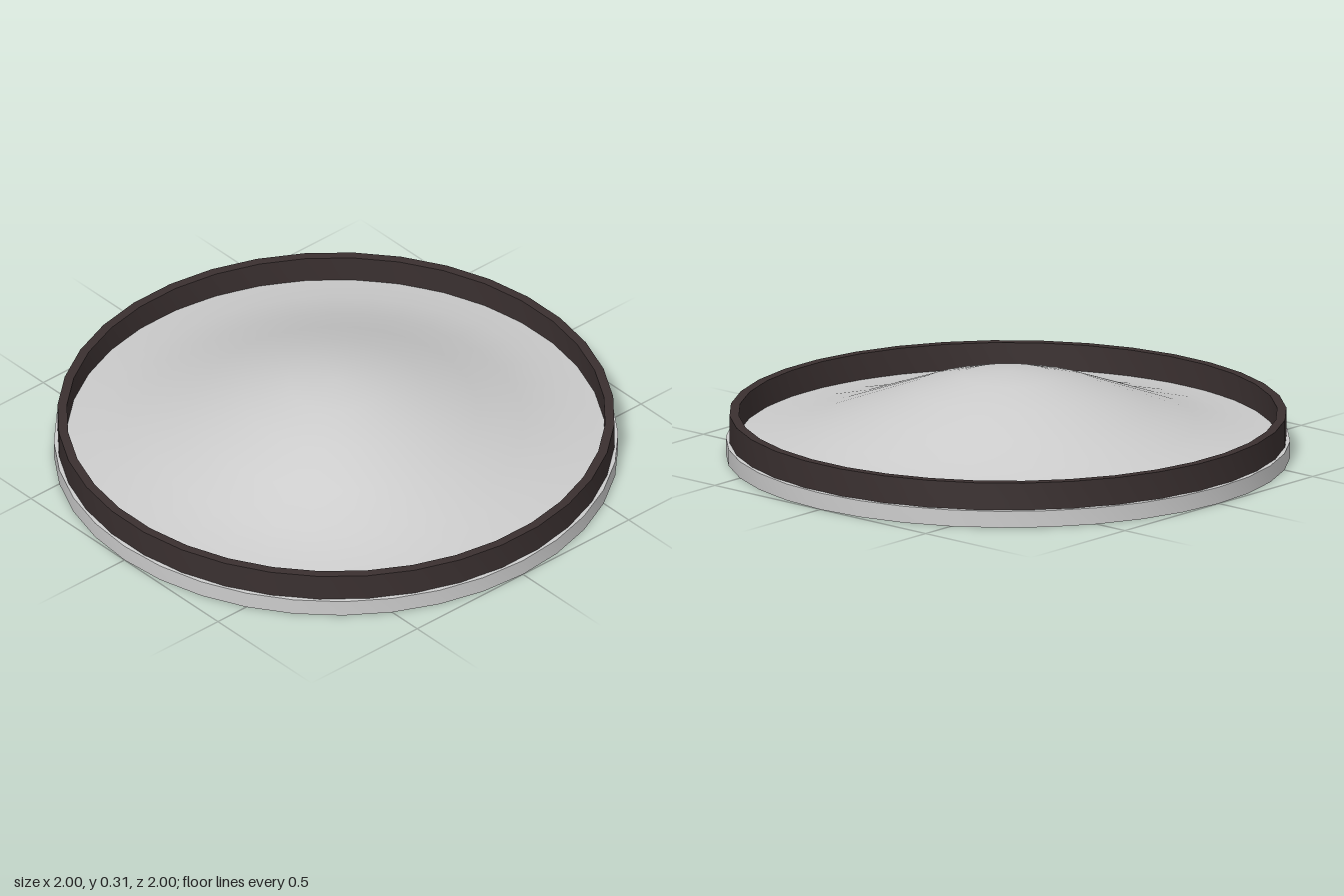
import * as THREE from 'three';
import { toCreasedNormals } from 'three/addons/utils/BufferGeometryUtils.js';

const SIDES = 36, RINGS = 6, THICK = 0.06, RISE = 0.25;

// Turned part: smooth around, sharp at the rims
function turned(name, points, color, phiStart = 0) {
  const lathe = new THREE.LatheGeometry(points.map(([r, y]) => new THREE.Vector2(r, y)), SIDES, phiStart);
  const mesh = new THREE.Mesh(toCreasedNormals(lathe, Math.PI / 6), new THREE.MeshStandardMaterial({ color }));
  mesh.name = name;
  return mesh;
}

export function createModel() {
  const group = new THREE.Group();
  group.name = 'domedDisc';

  // Disc swelling to a bell-shaped dome, hollow underneath
  const under = [], over = [];
  for (let i = 0; i <= RINGS; i++) {
    const r = i / RINGS;
    const y = RISE * (0.5 + 0.5 * Math.cos(Math.PI * r));
    under.push([r, y]);
    over.unshift([r, y + THICK]);
  }
  group.add(turned('dome', [...under, ...over], 0xcccccc));

  // Dark upright band standing just inside the rim, turned half a side
  const outer = 0.988, inner = 0.955, low = THICK, high = 0.16;
  group.add(turned('rimBand', [
    [inner, low], [outer, low], [outer, high], [inner, high], [inner, low],
  ], 0x3a3030, Math.PI / SIDES));

  return group;
}
